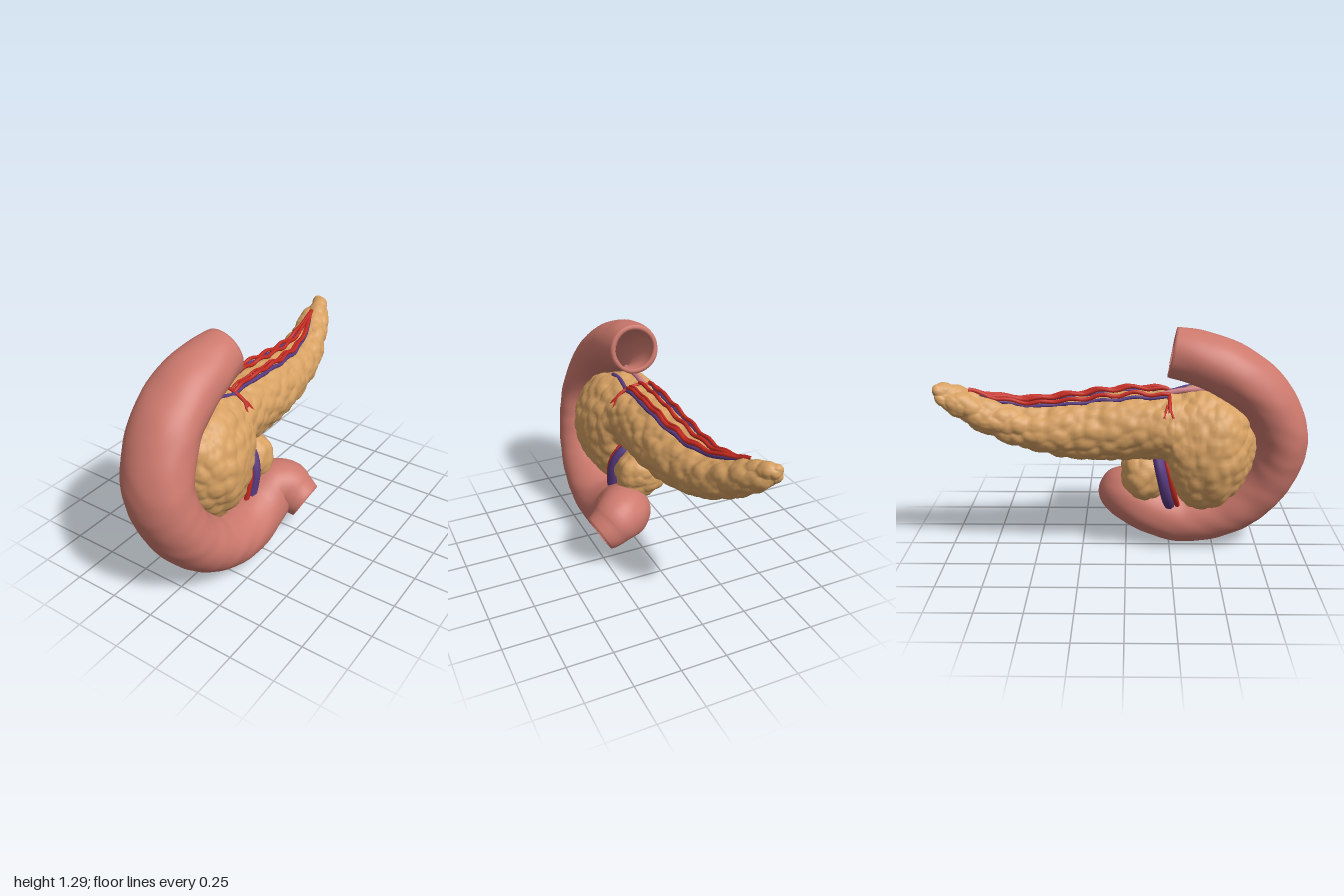
import * as THREE from 'three';

const V = (x, y, z) => new THREE.Vector3(x, y, z);
const { smoothstep } = THREE.MathUtils;
const material = (name, color) => Object.assign(new THREE.MeshStandardMaterial({ color }), { name });

// Smooth surface through a list of rings (each an array of points)
function skin(rings, closed = false) {
  const n = rings[0].length, m = rings.length, index = [];
  for (let i = 0; i < (closed ? m : m - 1); i++) {
    for (let j = 0; j < n; j++) {
      const k = (j + 1) % n, i2 = (i + 1) % m;
      const a = i * n + j, b = i * n + k, c = i2 * n + j, d = i2 * n + k;
      index.push(a, b, c, b, d, c);
    }
  }
  const g = new THREE.BufferGeometry().setFromPoints(rings.flat());
  g.setIndex(index);
  g.computeVertexNormals();
  return g;
}

// Repeatable hash and rounded cell pattern for the lobules
function hash(x, y, z, s) {
  const h = Math.sin(x * 127.1 + y * 311.7 + z * 74.7 + s * 53.3) * 43758.5453;
  return h - Math.floor(h);
}
function lobules(p, size) {
  const q = p.clone().divideScalar(size), c = q.clone().floor();
  let best = 9;
  for (let i = -1; i < 2; i++) for (let j = -1; j < 2; j++) for (let k = -1; k < 2; k++) {
    const x = c.x + i, y = c.y + j, z = c.z + k;
    const f = V(x + hash(x, y, z, 1), y + hash(x, y, z, 2), z + hash(x, y, z, 3));
    best = Math.min(best, f.distanceToSquared(q));
  }
  return 0.5 - Math.min(best, 1);
}
function displace(g, rule) {
  const pos = g.attributes.position, nor = g.attributes.normal;
  for (let i = 0; i < pos.count; i++) {
    const p = V().fromBufferAttribute(pos, i), n = V().fromBufferAttribute(nor, i);
    p.addScaledVector(n, rule(p));
    pos.setXYZ(i, p.x, p.y, p.z);
  }
  g.computeVertexNormals();
  return g;
}

// Gland sections: z, centre x, centre y, half width, half height
const GLAND = [
  [0.7, -0.05, 0.66, 0, 0], [0.68, -0.05, 0.655, 0.12, 0.14], [0.62, -0.05, 0.64, 0.2, 0.24],
  [0.52, -0.06, 0.62, 0.255, 0.32], [0.4, -0.06, 0.62, 0.247, 0.34], [0.32, -0.065, 0.635, 0.23, 0.315],
  [0.26, -0.07, 0.69, 0.21, 0.25], [0.22, -0.08, 0.755, 0.19, 0.185], [0.1, -0.08, 0.757, 0.178, 0.178],
  [-0.1, -0.08, 0.748, 0.17, 0.172], [-0.3, -0.09, 0.742, 0.16, 0.155], [-0.5, -0.105, 0.76, 0.14, 0.125],
  [-0.65, -0.125, 0.8, 0.125, 0.11], [-0.78, -0.153, 0.86, 0.102, 0.097], [-0.88, -0.177, 0.915, 0.08, 0.078],
  [-0.95, -0.198, 0.952, 0.058, 0.058], [-0.985, -0.208, 0.97, 0.036, 0.034], [-1, -0.21, 0.975, 0, 0],
];
const LOBE = [
  [0.24, -0.03, 0.46, 0, 0], [0.225, -0.03, 0.46, 0.07, 0.07], [0.17, -0.035, 0.46, 0.125, 0.13],
  [0.09, -0.035, 0.465, 0.145, 0.148], [0.03, -0.03, 0.47, 0.13, 0.122], [-0.005, -0.03, 0.47, 0.08, 0.075],
  [-0.02, -0.03, 0.47, 0, 0],
];
function gland(sections, steps, sides) {
  const centre = new THREE.CatmullRomCurve3(sections.map(s => V(s[1], s[2], s[0])), false, 'catmullrom');
  const size = new THREE.CatmullRomCurve3(sections.map(s => V(s[3], s[4], 0)), false, 'catmullrom');
  const rings = [];
  for (let i = 0; i <= steps; i++) {
    const c = centre.getPoint(i / steps), r = size.getPoint(i / steps);
    rings.push(Array.from({ length: sides }, (_, j) => {
      const a = j / sides * Math.PI * 2;
      return V(c.x + Math.max(r.x, 0) * Math.cos(a), c.y - Math.max(r.y, 0) * Math.sin(a), c.z);
    }));
  }
  // The bumps fade out at both poles so the ends stay closed
  const first = centre.getPoint(0), last = centre.getPoint(1);
  return displace(skin(rings), p => {
    const fade = Math.min(1, p.distanceTo(first) / 0.03, p.distanceTo(last) / 0.03);
    return fade * (0.024 * lobules(p, 0.07) + 0.006 * lobules(p, 0.035));
  });
}

// Height of the gland's upper surface
function glandTop(x, z) {
  let i = 0;
  while (i < GLAND.length - 2 && GLAND[i + 1][0] > z) i++;
  const A = GLAND[i], B = GLAND[i + 1], t = (A[0] - z) / (A[0] - B[0]);
  const [, cx, cy, rx, ry] = A.map((v, k) => v + (B[k] - v) * t);
  return cy + ry * Math.sqrt(Math.max(0, 1 - ((x - cx) / rx) ** 2));
}

// Hollow C-shaped gut: x, y, z, radius, widening in x
const GUT = [
  [-0.065, 1.155, 0.245, 0.135, 1.0], [-0.073, 1.13, 0.38, 0.143, 1.15], [-0.08, 1.055, 0.56, 0.152, 1.22],
  [-0.065, 0.91, 0.735, 0.155, 1.23], [-0.025, 0.67, 0.84, 0.157, 1.23], [0.025, 0.42, 0.775, 0.157, 1.22],
  [0.06, 0.235, 0.6, 0.157, 1.22], [0.08, 0.157, 0.36, 0.157, 1.14], [0.083, 0.195, 0.17, 0.157, 1.06],
  [0.1, 0.262, 0.045, 0.157, 1], [0.155, 0.27, -0.012, 0.148, 1], [0.22, 0.232, -0.03, 0.128, 1],
  [0.283, 0.197, -0.035, 0.108, 1],
];
function gutGeometry() {
  const steps = 150, sides = 56;
  const path = new THREE.CatmullRomCurve3(GUT.map(s => V(s[0], s[1], s[2])), false, 'catmullrom');
  const size = new THREE.CatmullRomCurve3(GUT.map(s => V(s[3], s[4], 0)), false, 'catmullrom');
  const { normals, binormals } = path.computeFrenetFrames(steps);
  const ring = (i, scale) => {
    const u = i / steps, c = path.getPointAt(u), s = size.getPoint(path.getUtoTmapping(u));
    return Array.from({ length: sides }, (_, j) => {
      const a = j / sides * Math.PI * 2;
      const o = V().addScaledVector(normals[i], Math.cos(a)).addScaledVector(binormals[i], Math.sin(a));
      o.multiplyScalar(s.x * scale);
      o.x *= s.y;
      return o.add(c);
    });
  };
  const rings = [];
  for (let i = 0; i <= steps; i++) rings.push(ring(i, 1));
  rings.push(ring(steps, 0.9));
  for (let i = steps; i >= 0; i--) rings.push(ring(i, 0.82));
  rings.push(ring(0, 0.9));
  return displace(skin(rings, true), p =>
    0.002 * Math.sin(p.x * 23 + Math.sin(p.y * 17) * 2) * Math.sin(p.y * 19 + p.z * 27 + Math.sin(p.x * 14)));
}

export function createModel() {
  const model = new THREE.Group();
  const pink = material('gut pink', 0xcd796d);
  const tan = material('gland tan', 0xd6a062);
  const red = material('artery red', 0xc42a20);
  const purple = material('vein purple', 0x583a80);
  const rose = material('duct rose', 0xd08088);

  const add = (name, geometry, mat) => {
    const mesh = new THREE.Mesh(geometry, mat);
    mesh.name = name;
    model.add(mesh);
  };
  const vessel = (name, points, radius, mat) => add(name,
    new THREE.TubeGeometry(new THREE.CatmullRomCurve3(points), points.length * 6, radius, 8), mat);

  add('gut', gutGeometry(), pink);
  add('gland', gland(GLAND, 230, 110), tan);
  add('glandLobe', gland(LOBE, 50, 64), tan);

  // Wavy vessels along the upper surface, meeting near the tail
  const along = (x0, z0, z1, lift, wave, phase) => Array.from({ length: 29 }, (_, i) => {
    const z = z0 + (z1 - z0) * i / 28;
    const f = Math.min(1, Math.max(0, (0.2 - z) / 1.02)) ** 2.8;
    const x = x0 + (-0.178 - x0) * f + 0.003 * Math.sin(z * 30 + phase);
    const rise = lift * (0.5 + 0.6 * smoothstep(-z, -0.25, -0.05)) * (1 - 0.8 * f);
    return V(x, glandTop(x, z) + rise + wave * (1 - 0.5 * f) * Math.sin(z * 38 + phase), z);
  });
  [-0.15, -0.088, -0.03, -0.012].forEach((x, i) =>
    vessel('topArtery', along(x, 0.23, -0.82, 0.034, 0.008, i * 0.5), i === 2 ? 0.007 : 0.011, red));
  vessel('topVein', along(-0.008, 0.42, -0.76, 0.012, 0.004, 1.5), 0.012, purple);
  vessel('topVein', along(-0.15, 0.22, -0.76, 0.011, 0.004, 0), 0.01, purple);
  vessel('duct', [V(-0.11, 0.94, 0.2), V(-0.11, 0.96, 0.3), V(-0.1, 0.968, 0.45)], 0.016, rose);

  // Cross branch with forked ends draping over both sides
  const drape = (xs, z0, z1) => xs.map((x, i) =>
    V(x, glandTop(x, 0.21) + 0.01, z0 + (z1 - z0) * i / (xs.length - 1)));
  vessel('crossArtery', drape([-0.235, -0.2, -0.15, -0.08, -0.01, 0.04, 0.075], 0.232, 0.225), 0.01, red);
  for (const [a, b] of [[0.04, 0.09], [-0.2, -0.25]]) {
    vessel('branchArtery', drape([a, (a + b) / 2, b], 0.22, 0.2), 0.006, red);
    vessel('branchArtery', drape([a, (a + b) / 2, b], 0.22, 0.25), 0.006, red);
  }

  // Large vessels looping through the notch beneath the gland
  const loop = dz => [[0.085, 0.25, 0.265], [0.095, 0.36, 0.235], [0.095, 0.48, 0.21], [0.05, 0.57, 0.19],
    [-0.04, 0.61, 0.19], [-0.14, 0.57, 0.195], [-0.175, 0.48, 0.215], [-0.135, 0.36, 0.24], [-0.02, 0.25, 0.265]]
    .map(([x, y, z]) => V(x, y, z + dz));
  vessel('notchVein', loop(-0.015), 0.031, purple);
  vessel('notchArtery', loop(0.029), 0.016, red);

  return model;
}
